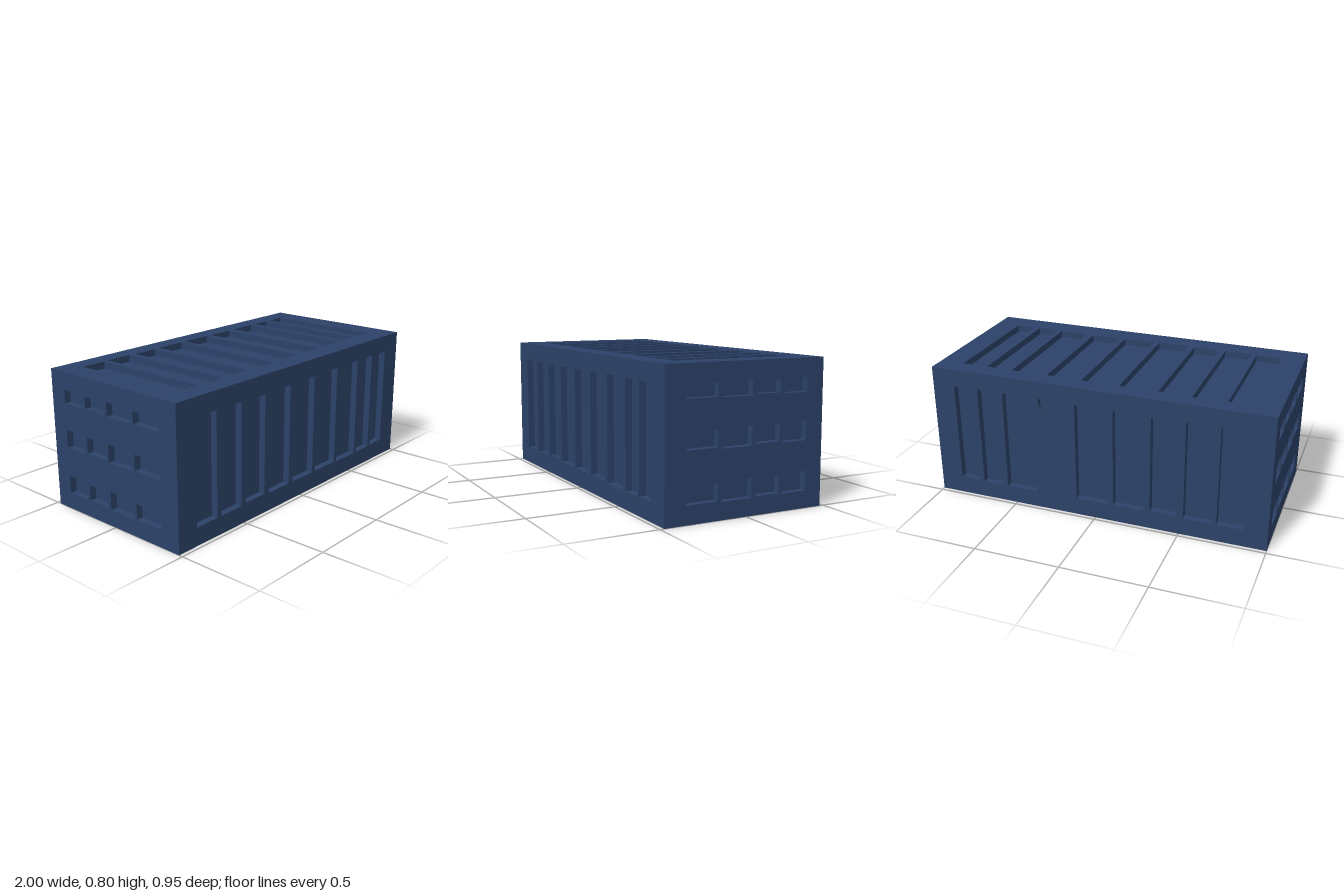
import * as THREE from 'three';

const W = 2, H = 0.8, D = 0.954, DEPTH = 0.04;

// Slots are [left, bottom, right, top] in the plane of their wall
const sideSlots = [
  [-0.869, 0.105, -0.714, 0.694], [-0.684, 0.105, -0.524, 0.694], [-0.487, 0.112, -0.329, 0.69],
  [-0.289, 0.105, -0.11, 0.694], [-0.075, 0.105, 0.115, 0.694], [0.144, 0.105, 0.34, 0.698],
  [0.364, 0.1, 0.556, 0.7], [0.583, 0.1, 0.714, 0.7], [0.738, 0.105, 0.864, 0.698],
];
const roofSlots = [
  [-0.866, -0.345, -0.717, 0.37], [-0.684, -0.352, -0.524, 0.376], [-0.487, -0.345, -0.332, 0.365],
  [-0.294, -0.352, -0.107, 0.37], [-0.075, -0.345, 0.115, 0.37], [0.155, -0.34, 0.326, 0.365],
  [0.374, -0.34, 0.545, 0.365], [0.588, -0.345, 0.703, 0.365], [0.743, -0.345, 0.856, 0.365],
];

// End wall: three rows of four openings, in z and y; alternate columns are a little taller
const endColumns = [[0.171, 0.355], [-0.031, 0.148], [-0.203, -0.054], [-0.374, -0.224]];
const endRows = [[[0.1, 0.191], [0.095, 0.2]], [[0.374, 0.464], [0.366, 0.469]], [[0.627, 0.695], [0.622, 0.7]]];
const endSlots = endRows.flatMap((row) =>
  endColumns.map(([z0, z1], i) => [z0, row[i % 2][0], z1, row[i % 2][1]]));

const mirror = (slots) => slots.map(([l, b, r, t]) => [-r, b, -l, t]);

// Outline of an opening; a half-covered slot keeps only its upper right triangle
function opening([l, b, r, t], half) {
  const points = half ? [[l, t], [r, b], [r, t]] : [[l, b], [l, t], [r, t], [r, b]];
  return new THREE.Path(points.map(([x, y]) => new THREE.Vector2(x, y)));
}

// Open pan behind an opening: a box without its front, turned inside out
function recess([l, b, r, t]) {
  const box = new THREE.BoxGeometry(r - l, t - b, DEPTH);
  const index = Array.from(box.index.array);
  index.splice(24, 6);
  box.setIndex(index.reverse());
  box.clearGroups();
  const geometry = box.toNonIndexed();
  geometry.computeVertexNormals();
  return geometry.translate((l + r) / 2, (b + t) / 2, -DEPTH / 2);
}

export function createModel() {
  const model = new THREE.Group();
  model.name = 'cargoContainer';
  const navy = new THREE.MeshStandardMaterial({ color: 0x2c4268 });
  navy.name = 'navy paint';

  // One flat wall with its openings and recesses
  function wall(name, width, bottom, top, slots, position, rotation, halfSlot = -1) {
    const group = new THREE.Group();
    group.name = name;
    const w = width / 2;
    const shape = new THREE.Shape([[-w, bottom], [w, bottom], [w, top], [-w, top]]
      .map(([x, y]) => new THREE.Vector2(x, y)));
    slots.forEach((slot, i) => shape.holes.push(opening(slot, i === halfSlot)));
    const skin = new THREE.Mesh(new THREE.ShapeGeometry(shape), navy);
    skin.name = name + 'Skin';
    group.add(skin);
    slots.forEach((slot, i) => {
      const pan = new THREE.Mesh(recess(slot), navy);
      pan.name = name + 'Recess' + (i + 1);
      group.add(pan);
    });
    group.position.set(...position);
    group.rotation.set(...rotation);
    model.add(group);
  }

  const q = Math.PI / 2;
  wall('frontWall', W, 0, H, sideSlots, [0, 0, D / 2], [0, 0, 0]);
  wall('backWall', W, 0, H, mirror(sideSlots), [0, 0, -D / 2], [0, Math.PI, 0], 5);
  wall('leftEnd', D, 0, H, mirror(endSlots), [W / 2, 0, 0], [0, q, 0]);
  wall('rightEnd', D, 0, H, endSlots, [-W / 2, 0, 0], [0, -q, 0]);
  wall('roof', W, -D / 2, D / 2, roofSlots, [0, H, 0], [-q, 0, 0]);
  wall('floor', W, -D / 2, D / 2, [], [0, 0, 0], [q, 0, 0]);
  return model;
}
